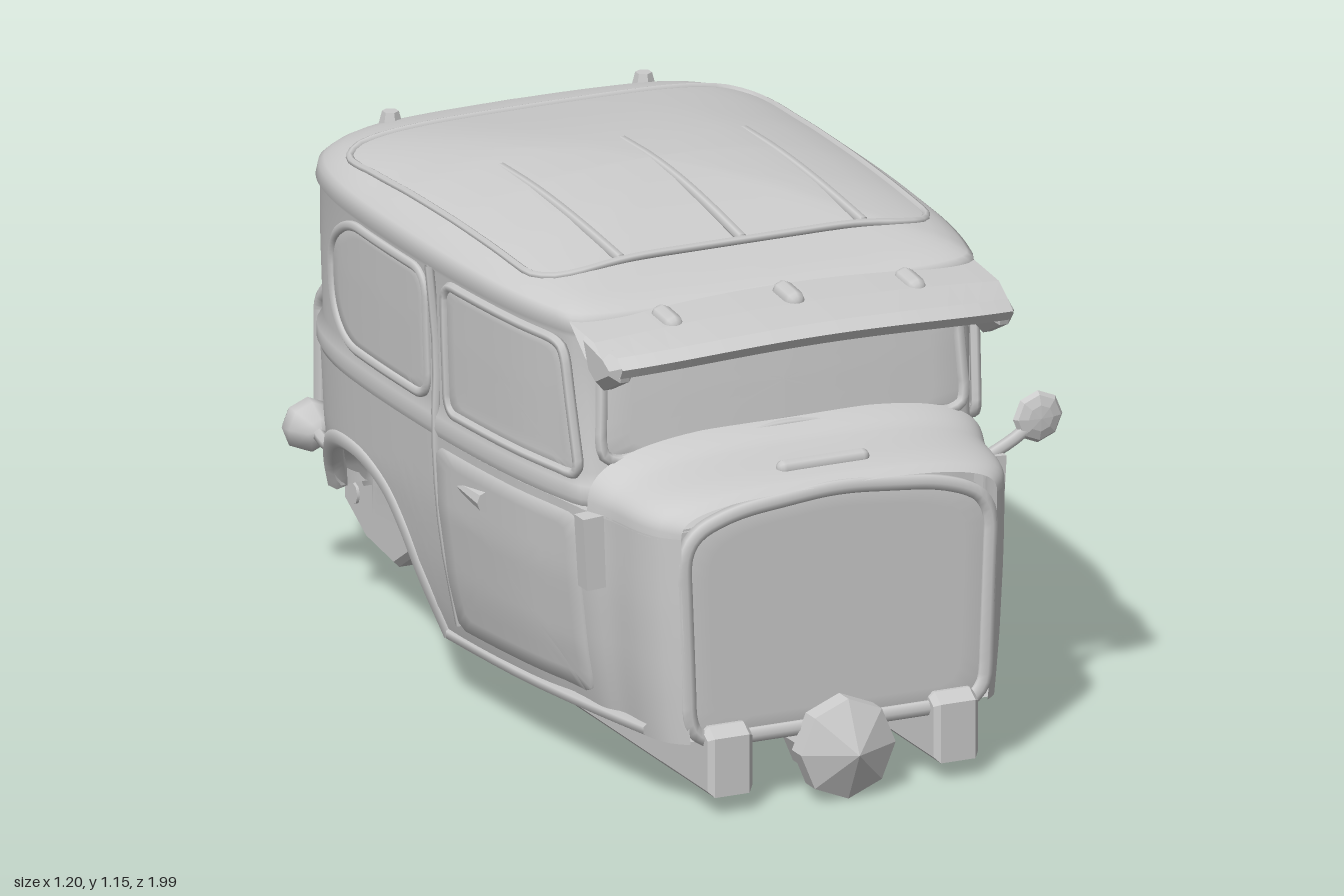
import * as THREE from 'three';

const mat = new THREE.MeshStandardMaterial({ color: 0xcccccc, side: THREE.DoubleSide });
const flat = new THREE.MeshStandardMaterial({ color: 0xcccccc, side: THREE.DoubleSide, flatShading: true });
const V = (x, y, z) => new THREE.Vector3(x, y, z);
const clamp = THREE.MathUtils.clamp;

// Linear interpolation in a list of [key, value] with rising keys
function interp(t, k) {
  if (k <= t[0][0]) return t[0][1];
  for (let i = 1; i < t.length; i++) if (k <= t[i][0]) {
    return t[i - 1][1] + (t[i][1] - t[i - 1][1]) * (k - t[i - 1][0]) / (t[i][0] - t[i - 1][0]);
  }
  return t[t.length - 1][1];
}
// Surface from a grid of points f(i, j)
function grid(nu, nv, f) {
  const p = [], idx = [];
  for (let j = 0; j <= nv; j++) for (let i = 0; i <= nu; i++) p.push(...f(i, j));
  for (let j = 0; j < nv; j++) for (let i = 0; i < nu; i++) {
    const a = j * (nu + 1) + i, b = a + nu + 1;
    idx.push(a, a + 1, b, a + 1, b + 1, b);
  }
  const g = new THREE.BufferGeometry();
  g.setAttribute('position', new THREE.Float32BufferAttribute(p, 3));
  g.setIndex(idx);
  g.computeVertexNormals();
  return g;
}
// Polygon with rounded corners, as evenly spaced points
function rounded(pts, r, n = 64) {
  const path = new THREE.Path(), v = pts.map(p => new THREE.Vector2(...p)), m = v.length;
  for (let i = 0; i < m; i++) {
    const c = v[i], a = v[(i + m - 1) % m], b = v[(i + 1) % m];
    const cut = q => c.clone().add(q.clone().sub(c).setLength(Math.min(r, q.distanceTo(c) * 0.49)));
    const s = cut(a), e = cut(b);
    if (i) path.lineTo(s.x, s.y); else path.moveTo(s.x, s.y);
    path.quadraticCurveTo(c.x, c.y, e.x, e.y);
  }
  path.closePath();
  return path.getSpacedPoints(n).slice(0, n);
}
// Panel that follows a surface map(a, b, offset), with a sunk edge
function patch(outline, map, off) {
  const n = outline.length, c = new THREE.Vector2();
  outline.forEach(p => c.addScaledVector(p, 1 / n));
  return grid(n, 7, (i, j) => {
    const q = c.clone().lerp(outline[i % n], j < 2 ? 1 : 1 - (j - 1) / 6);
    return map(q.x, q.y, j ? off : -0.01);
  });
}
const tube = (pts, r, closed = false, seg = pts.length * 2) =>
  new THREE.TubeGeometry(new THREE.CatmullRomCurve3(pts, closed), seg, r, 6, closed);
// Side profile of [z, y] points extruded across x, with bevels inside the given width
function across(pts, w, bevel) {
  const g = new THREE.ExtrudeGeometry(new THREE.Shape(pts.map(p => new THREE.Vector2(...p))),
    { depth: w - 2 * bevel, bevelSize: bevel, bevelThickness: bevel, bevelOffset: -bevel, bevelSegments: 1 });
  return g.rotateY(-Math.PI / 2).translate(w / 2 - bevel, 0, 0);
}

// Half plan outline of the body: half width x against z
const sidePts = [[.55, .49], [.4, .517], [.2, .536], [0, .545], [-.3, .545], [-.48, .532], [-.6, .503], [-.68, .458], [-.74, .372], [-.768, .22], [-.778, 0]];
const curve = a => new THREE.CatmullRomCurve3(a.map(([z, x]) => V(x, 0, z))).getSpacedPoints(90);
const lowPlan = curve([[.9, .375], [.87, .407], [.81, .432], [.7, .452], [.64, .474], ...sidePts]);
const topPlan = curve([[.668, 0], [.662, .25], [.648, .42], [.62, .468], ...sidePts]);
const widthTable = lowPlan.map(p => [p.z, p.x]).reverse();
const rearTable = lowPlan.filter(p => p.z < -.4).map(p => [p.x, p.z]).reverse();
const sill = [[.12, .83], [.17, .865], [.3, .92], [.46, .962], [.62, .978]];
const upper = [[.62, .978], [.637, .99], [.665, .985], [.69, .967], [.85, .978], [.985, .984], [1.0, 1.008], [1.03, 1.003]];
// The back is drawn in toward the roof instead of carrying the drip edge
const rearUpper = [[.62, .985], [.637, 1], [.665, 1.005], [.69, .988], [.9, .99], [.985, .984], [1.03, .965]];
const scaleAt = (y, z) => y > .62 ? interp(upper, y) : 1 - (1 - interp(sill, y)) * (1 - .5 * clamp((z - .5) / .35, 0, 1));
const halfWidth = (y, z) => interp(widthTable, z) * scaleAt(y, z);
const lean = (y, z) => -.05 * clamp((y - .65) / .38, 0, 1) * clamp((z - .3) / .35, 0, 1);
const arch = [[-.66, .29], [-.63, .355], [-.56, .42], [-.46, .457], [-.32, .457], [-.22, .42], [-.16, .36], [-.1, .26], [-.04, .14]];
const bottom = [[-.78, .28], ...arch, [0, .125], [.9, .16]];
const crown = [[-.8, 1.1], [-.66, 1.125], [-.5, 1.135], [-.2, 1.152], [0, 1.15], [.2, 1.137], [.4, 1.112], [.6, 1.075], [.7, 1.05]];
const edgeRise = [[-.65, .04], [-.3, .025]];
function roofAt(k, z) {
  const e = interp(edgeRise, z);
  return 1.03 + e * (1 - k ** 18) + (interp(crown, z) - 1.03 - e) * (1 - k ** 2.4);
}
function roofY(x, z) {
  const zr = z < 0 ? z / .965 : z;
  let lo = .05, hi = 1;
  for (let i = 0; i < 18; i++) {
    const k = (lo + hi) / 2;
    if (Math.abs(zr) < .778 * k && interp(widthTable, zr / k) * k > Math.abs(x)) hi = k; else lo = k;
  }
  return roofAt(hi, z);
}

export function createModel() {
  const root = new THREE.Group(), car = new THREE.Group();
  car.position.x = -.045;
  root.add(car);
  const add = (name, g, m = mat) => {
    const o = new THREE.Mesh(g, m);
    o.name = name;
    car.add(o);
    return o;
  };
  const sides = f => [1, -1].forEach(f);
  const N = 90;
  const ring = (plan, i) => ({ p: plan[i <= N ? i : 2 * N - i], s: i <= N ? 1 : -1 });

  // Lower body with wheel arches cut in its bottom edge
  add('lowerBody', grid(2 * N, 10, (i, j) => {
    const { p, s } = ring(lowPlan, i), b = interp(bottom, p.z), y = b + (.62 - b) * j / 10;
    const tuck = .09 * (.62 - y) / .34 * clamp((-p.z - .62) / .14, 0, 1);
    return [s * p.x * scaleAt(y, p.z), y, p.z * (p.z < 0 ? .99 : 1) + tuck];
  }));
  // Cabin and domed roof
  const ks = [.985, .965, .93, .88, .8, .7, .55, .4, .2, .001];
  add('cabinAndRoof', grid(2 * N, upper.length + ks.length - 1, (i, j) => {
    const { p, s } = ring(topPlan, i);
    if (j < upper.length) {
      const [y, k] = upper[j];
      return [s * p.x * k, y, p.z < 0 ? p.z * interp(rearUpper, y) : p.z * k + lean(y, p.z)];
    }
    const k = ks[j - upper.length], z = (p.z < 0 ? p.z * .965 : p.z + lean(1.03, p.z)) * k;
    return [s * p.x * k, roofAt(k, z), z];
  }));
  // Cowl, firewall and its bezel
  const cowlTop = [[.64, .765], [.66, .748], [.69, .733], [.74, .725], [.83, .715], [.88, .705], [.9, .69]];
  add('cowl', grid(40, 14, (i, j) => {
    const z = .64 + .26 * j / 14, a = Math.PI * i / 40, c = Math.cos(a);
    return [Math.sign(c) * Math.abs(c) ** .7 * halfWidth(.62, z), .615 + (interp(cowlTop, z) - .615) * Math.sin(a) ** .65, z];
  }));
  const wall = rounded([[-.345, .16], [-.362, .61], [-.25, .66], [0, .685], [.25, .66], [.362, .61], [.345, .16]], .07);
  add('firewall', patch(wall, (x, y, o) => [x, y, .89 + o], 0));
  add('firewallBezel', tube(wall.map(p => V(p.x, p.y, .888)), .018, true));
  add('cowlVent', new THREE.CapsuleGeometry(.018, .18, 4, 8).rotateZ(Math.PI / 2).translate(0, .716, .82));

  // Windshield
  const front = (x, y, o) => [x, y, (.668 - .1 * x * x) * interp(upper, y) + lean(y, .66) + .006 + o];
  const shield = rounded([[-.428, .715], [0, .75], [.428, .715], [.415, .95], [0, .985], [-.415, .95]], .05);
  add('windshield', patch(shield, front, .003));
  add('windshieldFrame', tube(shield.map(p => V(...front(p.x, p.y, .002))), .014, true));
  // Rear window
  const rear = (x, y, o) => [x, y, interp(rearTable, Math.abs(x) / interp(upper, y)) * interp(rearUpper, y) - o];
  const back = rounded([[-.22, .75], [.22, .75], [.22, .9], [-.22, .9]], .07);
  add('rearWindow', patch(back, rear, .002));
  add('rearWindowFrame', tube(back.map(p => V(...rear(p.x, p.y, 0))), .01, true));

  const doorWindow = rounded([[.605, .685], [.56, .955], [.53, .972], [.09, .972], [.09, .685]], .04);
  const rearSideWindow = rounded([[.005, .69], [.005, .972], [-.37, .972], [-.48, .9], [-.48, .76], [-.4, .69]], .06);
  const door = rounded([[.61, .2], [.61, .6], [.05, .6], [.05, .185]], .03);
  sides(s => {
    const side = (z, y, o) => [s * (halfWidth(y, z) + o), y, z];
    const onSide = (pts, o) => pts.map(p => V(...side(p.x ?? p[0], p.y ?? p[1], o)));
    // Side glass, door, pillar, sill and arch mouldings
    for (const [name, w] of [['doorWindow', doorWindow], ['rearSideWindow', rearSideWindow]]) {
      add(name, patch(w, side, .002));
      add(name + 'Frame', tube(onSide(w, 0), .012, true));
    }
    add('door', patch(door, side, .006));
    add('centrePillarTrim', tube(onSide([[.045, .19], [.045, .4], [.045, .62], [.045, .8], [.045, 1]], 0), .01));
    add('sillTrim', tube(onSide([[.8, .172], [.6, .163], [.3, .152], [-.03, .145]], -.004), .016));
    add('archLip', tube(onSide(arch, -.014), .024, false, 40));
    // Wheel well roof and inner wall
    const c = new THREE.CatmullRomCurve3(arch.map(([z, y]) => V(0, y, z))).getPoints(30);
    add('wheelWell', grid(30, 4, (i, j) => {
      const p = c[i], x = [1, .8, .36, .34, .34][j], w = halfWidth(p.y, p.z);
      return [s * (j === 0 ? w : j === 1 ? w * .85 : x), j === 4 ? Math.min(.2, p.y) : p.y - (j > 1 ? .02 : 0), p.z];
    }));
    // Underside between body edge and rail
    add('sillUnderside', grid(12, 1, (i, j) => {
      const z = -.04 + .92 * i / 12, y = interp(bottom, z);
      return [s * (j ? .28 : halfWidth(y, z)), y, z];
    }));
    // Door handle
    add('doorHandle', new THREE.CylinderGeometry(.012, .024, .12, 8).rotateX(-Math.PI / 2)
      .translate(s * .518, .535, .205), flat);
    // Side lamp box at the cowl
    const lampBox = add('cowlSideLamp', new THREE.BoxGeometry(.052, .16, .045), flat);
    lampBox.position.set(s * .466, .54, .664);
    lampBox.rotation.z = -s * .06;
    // Chassis rail kicking up over the rear axle
    add('chassisRail', across([[.93, .045], [.93, .175], [.9, .195], [.05, .15], [-.1, .17], [-.26, .27], [-.44, .28], [-.75, .28], [-.85, .25],
      [-.85, .18], [-.74, .12], [-.6, .1], [-.44, .2], [-.28, .2], [-.12, .06], [-.05, .05]], .105, .012).translate(s * .265, 0, 0), flat);
    add('railBolt', new THREE.CylinderGeometry(.025, .025, .02, 8).rotateZ(Math.PI / 2).translate(s * .314, .21, -.79));
    // Tail lamp on a bent stalk
    add('tailLampStalk', tube([V(s * .44, .37, -.62), V(s * .425, .36, -.71), V(s * .41, .365, -.79)], .014));
    const lamp = [[0, -.045], [.045, -.045], [.06, -.02], [.055, .005], [.03, .045], [0, .055]];
    add('tailLamp', new THREE.LatheGeometry(lamp.map(p => new THREE.Vector2(...p)), 8)
      .rotateX(Math.PI / 2).translate(s * .41, .365, -.81));
    add('roofMarker', new THREE.CylinderGeometry(.018, .028, .04, 6).translate(s * .297, roofY(.297, -.66) + .002, -.66), flat);
  });

  // Roof insert border and ribs
  const insert = rounded([[-.485, -.54], [.485, -.54], [.465, .43], [-.465, .43]], .1);
  add('roofInsertBorder', tube(insert.map(p => V(p.x, roofY(p.x, p.y) - .001, p.y)), .009, true));
  for (const x of [-.285, 0, .285]) {
    const rib = [.43, .3, .15, 0, -.15].map((z, i) => V(x, roofY(x, z) + .002 - i * .003, z));
    add('roofRib', tube(rib, .012));
    add('visorLamp', new THREE.CapsuleGeometry(.024, .05, 4, 8).rotateX(Math.PI / 2 + .1).translate(x, 1.036 - .15 * x * x, .655));
  }
  // Sun visor with end cheeks
  const visor = [[.58, 1.045], [.7, 1.034], [.8, 1.02], [.828, 1], [.815, .978], [.66, .985], [.58, 1.045]];
  add('sunVisor', grid(24, 6, (i, j) => {
    const x = -.475 + .95 * i / 24, q = (x / .475) ** 2, [z, y] = visor[j];
    return [x * (z > .75 ? .965 : 1), y - .022 * q, z - .03 * q * q * (z > .75 ? 1 : .2)];
  }), flat);
  const cheek = [[.62, 1.02], [.74, 1.005], [.79, .98], [.78, .945], [.7, .905], [.65, .93]];
  sides(s => add('visorCheek', across(cheek, .06, .02).translate(s * .445, 0, 0), flat));

  // Door mirror, left side only
  add('mirrorArm', tube([V(.47, .615, .66), V(.53, .645, .66), V(.58, .68, .66)], .014));
  add('mirror', new THREE.SphereGeometry(1, 8, 6).rotateX(Math.PI / 2).scale(.058, .058, .02).translate(.582, .685, .66), flat);

  // Rear trunk with rims, lid band and clasps
  const box = [[-.74, .33], [-.74, .59], [-.78, .64], [-.925, .64], [-.975, .59], [-.975, .33], [-.925, .28], [-.78, .28]];
  add('trunk', across(box, .61, .005), flat);
  const rim = rounded(box.map(([z, y]) => [z * .95 - .043, y * .95 + .023]), .015, 48);
  sides(s => add('trunkRim', tube(rim.map(p => V(s * .31, p.y, p.x)), .018, true)));
  add('trunkLidBand', new THREE.BoxGeometry(.6, .022, .25).translate(0, .53, -.86));
  sides(s => add('trunkClasp', new THREE.CapsuleGeometry(.02, .045, 3, 8).scale(1.3, 1, .8).translate(s * .195, .53, -.976)));
  // Fuel tank under the trunk
  add('fuelTank', across([[-.46, .25], [-.53, .16], [-.6, .11], [-.72, .115], [-.82, .18], [-.82, .245], [-.72, .28]], .5, .01), flat);

  // Floor and cross member
  add('floor', new THREE.BoxGeometry(.72, .02, .92).translate(0, .175, .41));
  add('rearFloor', new THREE.BoxGeometry(.68, .02, .62).translate(0, .28, -.36));
  add('floorStep', new THREE.BoxGeometry(.68, .12, .02).translate(0, .225, -.055));
  add('crossMember', new THREE.BoxGeometry(.46, .035, .05).translate(0, .12, .25));
  // Gearbox, drive shaft and front disc
  const drive = [[0, 1], [.111, .945], [.111, .9], [.085, .88], [.085, .8], [.045, .7], [.025, .68], [.025, .12], [.04, .11], [.04, .06], [0, .05]];
  add('gearboxAndShaft', new THREE.LatheGeometry(drive.map(([r, z]) => new THREE.Vector2(r, z)), 8)
    .rotateX(Math.PI / 2).translate(0, .115, 0), flat);
  add('drainPlug', new THREE.CylinderGeometry(.025, .025, .05, 8).translate(0, .03, .84));
  return root;
}
